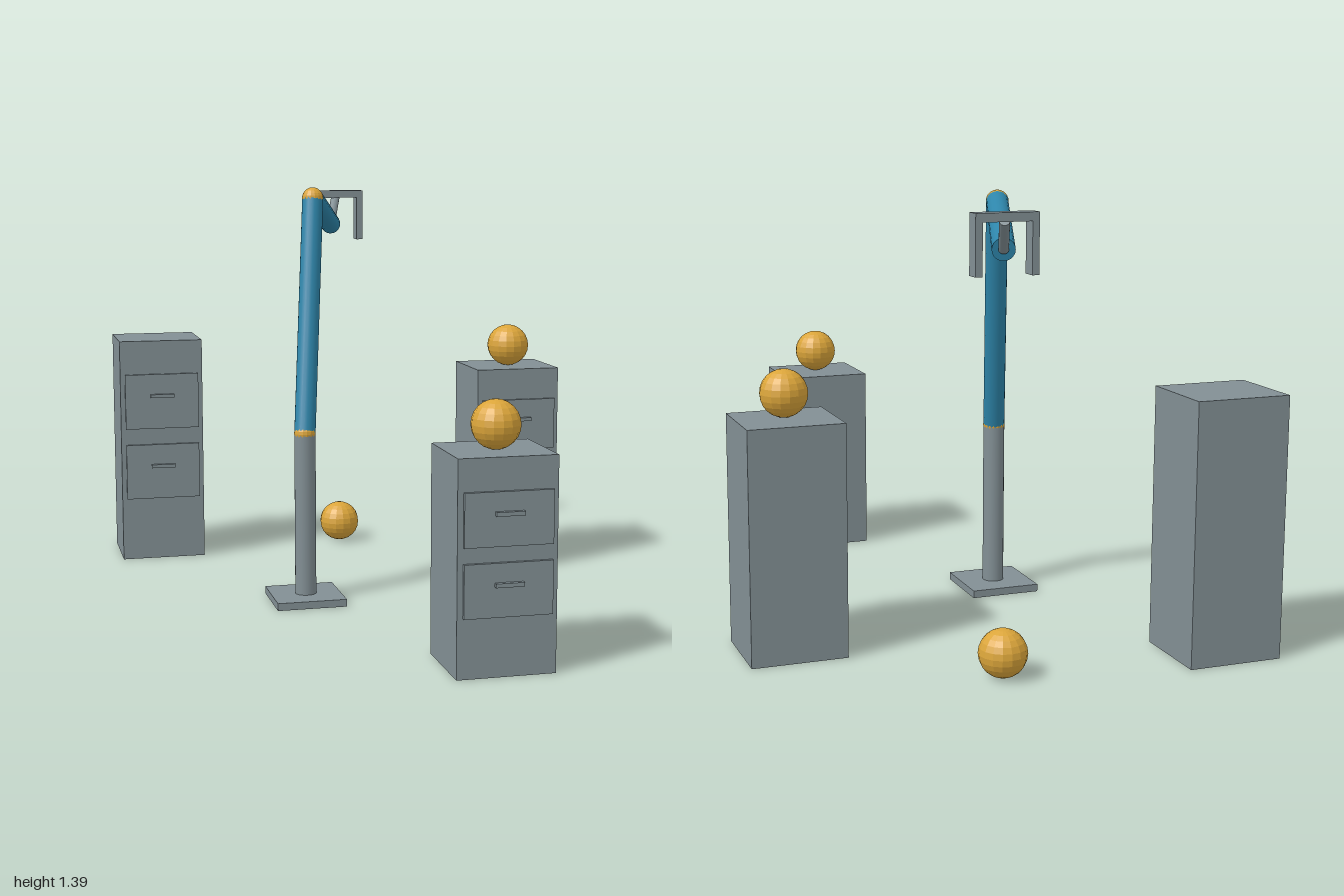
import * as THREE from 'three';

const grey = new THREE.MeshStandardMaterial({ color: 0x828f94 });
grey.name = 'steel grey';
const blue = new THREE.MeshStandardMaterial({ color: 0x2e86ab });
blue.name = 'arm blue';
const gold = new THREE.MeshStandardMaterial({ color: 0xdba53a, flatShading: true });
gold.name = 'gold';

const vec = (x, y, z) => new THREE.Vector3(x, y, z);

function box(name, w, h, d, x, y, z) {
  const mesh = new THREE.Mesh(new THREE.BoxGeometry(w, h, d), grey);
  mesh.name = name;
  mesh.position.set(x, y, z);
  return mesh;
}

function ball(name, radius, x, y, z) {
  const mesh = new THREE.Mesh(new THREE.SphereGeometry(radius, 16, 12), gold);
  mesh.name = name;
  mesh.position.set(x, y, z);
  return mesh;
}

// Cylinder running from point a to point b
function rod(name, a, b, radius, material) {
  const dir = b.clone().sub(a);
  const mesh = new THREE.Mesh(new THREE.CylinderGeometry(radius, radius, dir.length(), 20), material);
  mesh.name = name;
  mesh.position.copy(a).add(b).multiplyScalar(0.5);
  mesh.quaternion.setFromUnitVectors(vec(0, 1, 0), dir.normalize());
  return mesh;
}

// Cabinet with two drawer fronts and handles; drawers scale with the height
function cabinet(name, x, z, h) {
  const group = new THREE.Group();
  group.name = name;
  group.position.set(x, 0, z);
  group.add(box('cabinetBody', 0.305, h, 0.275, 0, h / 2, 0));
  for (const t of [0.405, 0.726]) {
    group.add(box('drawerFront', 0.271, 0.2475 * h, 0.011, 0, t * h, 0.146));
    group.add(box('drawerHandle', 0.087, 0.0125, 0.014, 0, (t + 0.026) * h, 0.158));
  }
  return group;
}

export function createModel() {
  const model = new THREE.Group();
  model.name = 'robotArmWithCabinets';

  // Cabinets
  model.add(cabinet('tallCabinet', -0.624, -0.8625, 0.822));
  model.add(cabinet('frontCabinet', 0.167, 0.835, 0.652));
  model.add(cabinet('sideCabinet', 0.618, -0.409, 0.735));

  // Loose balls
  const r = 0.075;
  model.add(ball('frontCabinetBall', r, 0.167, 0.652 + r, 0.849));
  model.add(ball('sideCabinetBall', r, 0.618, 0.735 + r, -0.395));
  model.add(ball('floorBall', r, 0.084, r, -0.863));

  // Arm
  const arm = new THREE.Group();
  arm.name = 'robotArm';
  const foot = vec(-0.229, 0.025, 0);
  const shoulder = vec(-0.229, 0.577, 0);
  const elbow = vec(-0.158, 1.358, -0.192);
  const wrist = vec(0.007, 1.25, -0.655);
  const palm = vec(0.05, 1.345, -0.766);
  arm.add(box('basePlate', 0.236, 0.025, 0.236, -0.23, 0.0125, 0));
  arm.add(rod('column', foot, shoulder, 0.036, grey));
  arm.add(ball('shoulderJoint', 0.037, ...shoulder.toArray()));
  arm.add(rod('upperArm', shoulder, elbow, 0.036, blue));
  arm.add(ball('elbowJoint', 0.037, ...elbow.toArray()));
  arm.add(rod('forearm', elbow, wrist, 0.036, blue));
  arm.add(rod('wristRod', wrist, palm, 0.016, grey));
  model.add(arm);

  // Gripper
  const gripper = new THREE.Group();
  gripper.name = 'gripper';
  gripper.add(box('palm', 0.199, 0.027, 0.05, 0.05, 1.3575, -0.767));
  for (const side of [-1, 1]) {
    gripper.add(box('finger', 0.022, 0.157, 0.05, 0.05 + side * 0.0885, 1.2655, -0.767));
  }
  model.add(gripper);
  return model;
}
